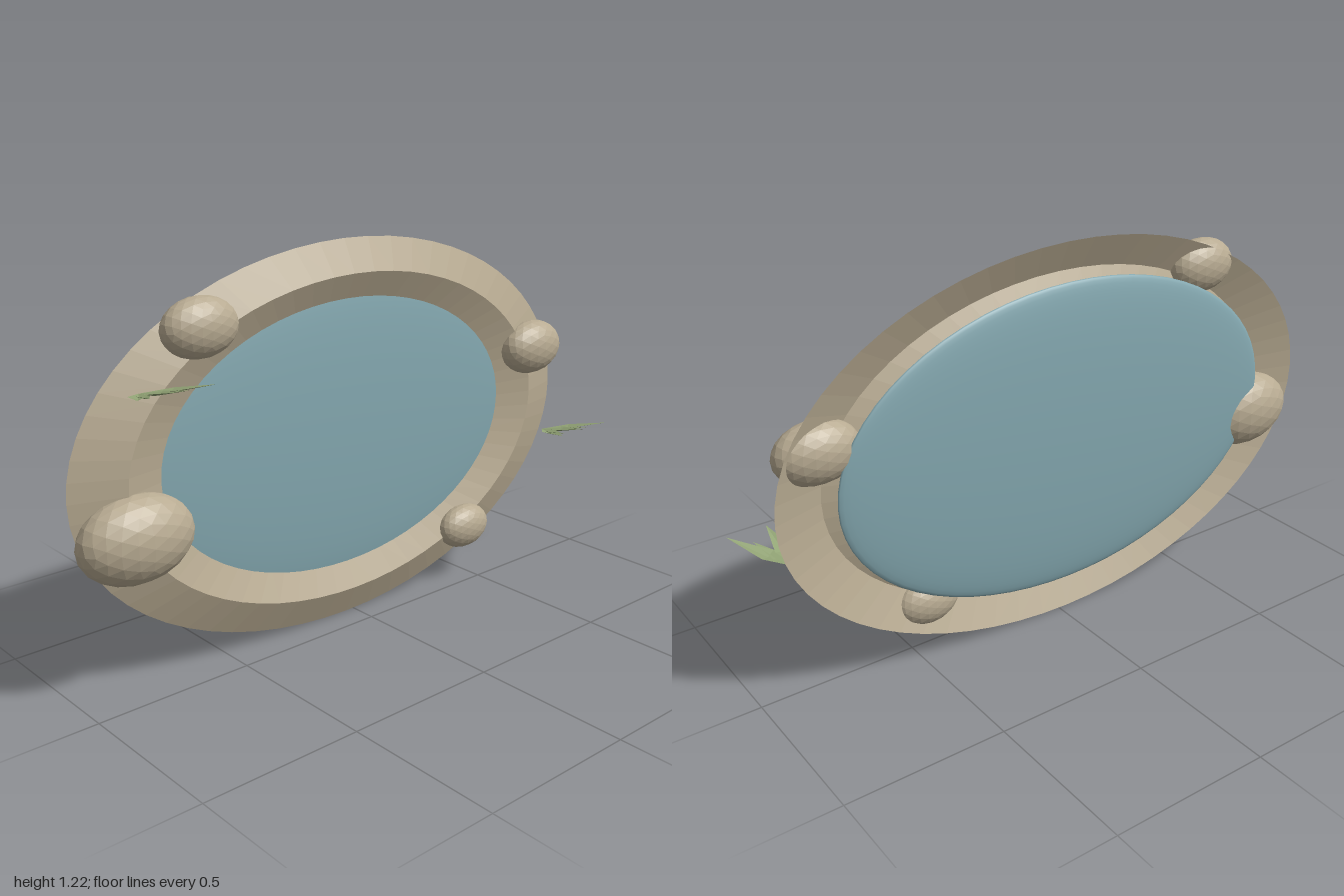
import * as THREE from 'three';

const stone = new THREE.MeshStandardMaterial({ color: 0xb8ab92, flatShading: true, side: THREE.DoubleSide });
stone.name = 'sandStone';
const water = new THREE.MeshStandardMaterial({ color: 0x84a8b0 });
water.name = 'pondWater';
const leaf = new THREE.MeshStandardMaterial({ color: 0x93a576, flatShading: true, side: THREE.DoubleSide });
leaf.name = 'reedGreen';

const CX = -0.03, CY = 0.617;

function add(parent, name, geometry, material, x, y, z) {
  const mesh = new THREE.Mesh(geometry, material);
  mesh.name = name;
  mesh.position.set(x, y, z);
  parent.add(mesh);
  return mesh;
}

// Folded kite-shaped blade from the origin to a tip, widest partway along
function bladeGeometry(tip, halfWidth) {
  const side = new THREE.Vector3(tip.z, 0, -tip.x).normalize().multiplyScalar(halfWidth);
  const mid = tip.clone().multiplyScalar(0.4);
  const ridge = mid.clone().add(new THREE.Vector3(0, -0.008, 0));
  const a = mid.clone().add(side), b = mid.clone().sub(side);
  const base = new THREE.Vector3();
  const faces = [base, a, ridge, ridge, a, tip, base, ridge, b, ridge, tip, b];
  const g = new THREE.BufferGeometry().setFromPoints(faces);
  g.computeVertexNormals();
  return g;
}

export function createModel() {
  const model = new THREE.Group();
  model.name = 'pond';

  // Open ridge-shaped bank around the pond
  const profile = [[0.97, -0.09], [0.81, -0.041], [0.65, -0.09]].map(p => new THREE.Vector2(...p));
  const bank = new THREE.LatheGeometry(profile, 64);
  bank.rotateX(Math.PI / 2);
  bank.scale(1, 0.63, 1);
  add(model, 'bank', bank, stone, CX, CY, 0);

  // Flattened lens of water
  const lens = new THREE.SphereGeometry(1, 64, 32);
  lens.rotateX(Math.PI / 2);
  lens.scale(0.79, 0.494, 0.04);
  add(model, 'water', lens, water, CX, CY, -0.1);

  // Boulders: centre x, y and radii
  const boulders = [
    [-0.823, 0.488, 0.181, 0.129, 0.1],
    [-0.588, 1.045, 0.123, 0.088, 0.068],
    [0.783, 0.776, 0.131, 0.093, 0.073],
    [0.465, 0.19, 0.106, 0.075, 0.058],
  ];
  boulders.forEach(([x, y, rx, ry, rz], i) => {
    const g = new THREE.IcosahedronGeometry(1, 3);
    g.scale(rx, ry, rz);
    add(model, 'boulder' + (i + 1), g, stone, x, y, -0.045);
  });

  // Reed tufts leaning forward from the bank
  [[-0.785, 0.893], [0.872, 0.455]].forEach(([x, y], i) => {
    const tuft = new THREE.Group();
    tuft.name = 'reedTuft' + (i + 1);
    tuft.position.set(x, y, -0.05);
    [-2, -1, 0, 1, 2].forEach(k => {
      const long = k % 2 === 0;
      const tip = new THREE.Vector3(k * 0.059, long ? 0.043 : 0.028, long ? 0.192 : 0.15);
      add(tuft, 'blade', bladeGeometry(tip, long ? 0.027 : 0.02), leaf, k * 0.001, 0, 0);
    });
    model.add(tuft);
  });

  return model;
}
